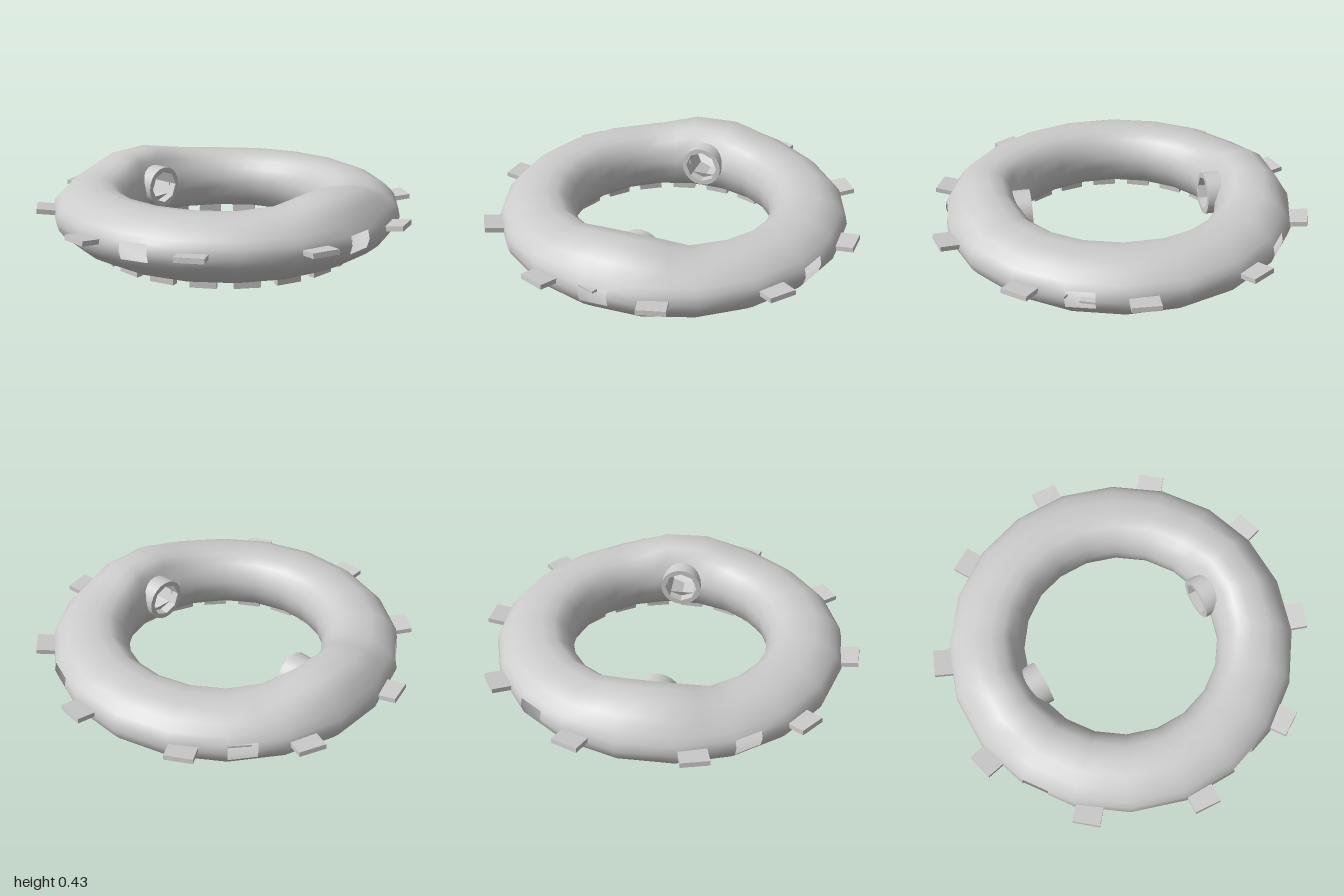
import * as THREE from 'three';
import { toCreasedNormals } from 'three/addons/utils/BufferGeometryUtils.js';

const DEG = Math.PI / 180;
const SIDES = 20;
const START = -6; // angle of the first corner, measured from the front towards +x
const material = new THREE.MeshStandardMaterial({ color: 0xcccccc, side: THREE.DoubleSide });

// Cross-section of the ring: radius, height, share of the end hump
const PROFILE = [
  [0.91, 0.27, 0], [0.885, 0.3, 0.1], [0.84, 0.34, 0.7], [0.77, 0.37, 1],
  [0.68, 0.375, 1], [0.615, 0.365, 1], [0.575, 0.335, 0.7], [0.54, 0.295, 0],
  [0.52, 0.235, 0], [0.522, 0.18, 0], [0.545, 0.11, 0], [0.595, 0.06, 0],
  [0.66, 0.04, 0], [0.74, 0.052, 0], [0.82, 0.095, 0], [0.88, 0.145, 0],
  [0.907, 0.18, 0], [0.92, 0.225, 0],
];
const WINDOW_ROWS = [16, 17];
const PORT_ROWS = [7, 8];

// Height of the hump over each pipe, front and back
function hump(angle) {
  const off = Math.acos(Math.abs(Math.cos(angle * DEG))) / DEG;
  return 0.052 * (1 - THREE.MathUtils.smoothstep(off, 8, 32));
}

function corner(side, [r, y, lift]) {
  const a = START + side * 360 / SIDES;
  return new THREE.Vector3(r * Math.sin(a * DEG), y + lift * hump(a), r * Math.cos(a * DEG));
}

// Hollow ring; each side is split in two columns so the windows can be cut out
function ringGeometry() {
  const positions = [], index = [];
  const columns = SIDES * 2, rows = PROFILE.length;
  for (let c = 0; c < columns; c++) {
    const side = Math.floor(c / 2);
    for (const p of PROFILE) {
      const v = corner(side, p);
      if (c % 2) v.lerp(corner(side + 1, p), 0.5);
      positions.push(v.x, v.y, v.z);
    }
  }
  for (let c = 0; c < columns; c++) {
    const side = Math.floor(c / 2);
    for (let j = 0; j < rows; j++) {
      const isWindow = c % 8 === 0 && WINDOW_ROWS.includes(j);
      const isPort = side % 10 === 0 && PORT_ROWS.includes(j);
      if (isWindow || isPort) continue;
      const c2 = (c + 1) % columns, j2 = (j + 1) % rows;
      const a = c * rows + j, b = c2 * rows + j, d = c2 * rows + j2, e = c * rows + j2;
      index.push(a, b, d, a, d, e);
    }
  }
  const geometry = new THREE.BufferGeometry();
  geometry.setAttribute('position', new THREE.Float32BufferAttribute(positions, 3));
  geometry.setIndex(index);
  geometry.computeVertexNormals();
  return geometry;
}

// Round pipe with a faceted bore, running along z
function pipeGeometry(length) {
  const shape = new THREE.Shape().absarc(0, 0, 0.113, 0, Math.PI * 2);
  const bore = new THREE.Path();
  for (let i = 0; i < 8; i++) {
    const a = -i * Math.PI / 4;
    const x = 0.09 * Math.cos(a), y = 0.09 * Math.sin(a);
    if (i) bore.lineTo(x, y); else bore.moveTo(x, y);
  }
  bore.closePath();
  shape.holes.push(bore);
  const geometry = new THREE.ExtrudeGeometry(shape, { depth: length, bevelEnabled: false, curveSegments: 10 });
  return toCreasedNormals(geometry, 40 * DEG);
}

export function createModel() {
  const model = new THREE.Group();
  model.name = 'ring';

  const add = (name, geometry, angle, radius, y, tilt = 0) => {
    const mesh = new THREE.Mesh(geometry, material);
    mesh.name = name;
    mesh.rotation.set(tilt, angle * DEG, 0, 'YXZ');
    mesh.position.set(radius * Math.sin(angle * DEG), y, radius * Math.cos(angle * DEG));
    model.add(mesh);
  };

  add('hollowRing', ringGeometry(), 0, 0, 0);

  // Pipes opening into the middle, front and back
  const pipe = pipeGeometry(0.19);
  add('frontPipe', pipe, 3, 0.47, 0.24);
  add('backPipe', pipe, 183, 0.47, 0.24);

  // Tabs around the outer edge, tipped up slightly
  const tab = new THREE.BoxGeometry(0.14, 0.025, 0.14);
  for (let i = 0; i < 10; i++) add('outerTab', tab, 17 + i * 36, 0.929, 0.24, -0.12);

  // Small feet under the ring
  const foot = new THREE.BoxGeometry(0.13, 0.055, 0.035);
  for (let i = 0; i < 20; i++) add('foot', foot, -1 + i * 18, 0.66, 0.0275);

  return model;
}
